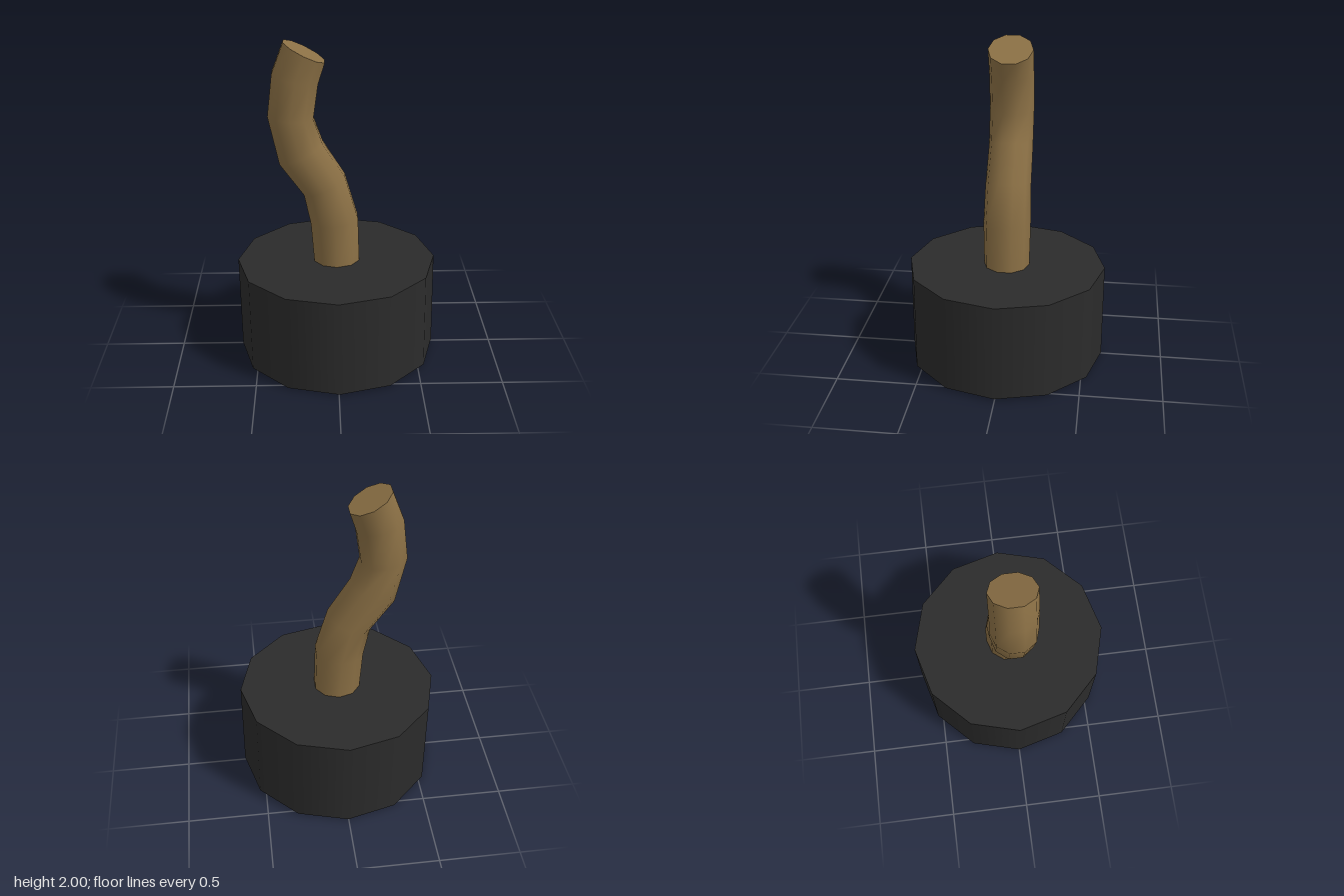
import * as THREE from 'three';

const SIDES = 10;

// Lofted stem: each ring spans a left and a right outline point, with its own depth
function stemGeometry(rings) {
  const positions = [], index = [];
  const addRing = ([lx, ly, rx, ry, depth]) => {
    const cx = (lx + rx) / 2, cy = (ly + ry) / 2;
    // flats face left and right, so widen to reach the outline
    const k = 1 / Math.cos(Math.PI / SIDES);
    const ux = (rx - lx) / 2 * k, uy = (ry - ly) / 2 * k;
    for (let j = 0; j < SIDES; j++) {
      const a = ((j + 0.5) / SIDES) * Math.PI * 2;
      positions.push(cx + ux * Math.cos(a), cy + uy * Math.cos(a), -depth * Math.sin(a));
    }
  };
  rings.forEach(addRing);
  for (let i = 0; i < rings.length - 1; i++) {
    for (let j = 0; j < SIDES; j++) {
      const a = i * SIDES + j, b = i * SIDES + (j + 1) % SIDES;
      index.push(a, b, b + SIDES, a, b + SIDES, a + SIDES);
    }
  }
  // End caps use their own vertices to keep the rims sharp
  for (const [ring, top] of [[rings[0], false], [rings[rings.length - 1], true]]) {
    const start = positions.length / 3;
    addRing(ring);
    for (let j = 1; j < SIDES - 1; j++) {
      if (top) index.push(start, start + j, start + j + 1);
      else index.push(start, start + j + 1, start + j);
    }
  }
  const geometry = new THREE.BufferGeometry();
  geometry.setAttribute('position', new THREE.Float32BufferAttribute(positions, 3));
  geometry.setIndex(index);
  geometry.computeVertexNormals();
  return geometry;
}

export function createModel() {
  const model = new THREE.Group();

  // Twelve-sided base, leaning very slightly
  const base = new THREE.Mesh(
    new THREE.CylinderGeometry(0.617, 0.617, 0.608, 12),
    new THREE.MeshStandardMaterial({ color: 0x2b2b2b })
  );
  base.name = 'base';
  base.position.y = 0.312;
  base.rotation.z = 0.012;
  model.add(base);

  // Bent stem: left x, left y, right x, right y, half depth
  const stem = new THREE.Mesh(
    stemGeometry([
      [-0.137, 0.56, 0.142, 0.56, 0.142],
      [-0.16, 0.87, 0.13, 0.9, 0.148],
      [-0.2, 1.06, 0.05, 1.17, 0.142],
      [-0.345, 1.26, -0.085, 1.385, 0.138],
      [-0.41, 1.56, -0.14, 1.54, 0.138],
      [-0.38, 1.815, -0.11, 1.755, 0.138],
      [-0.31, 2.0, -0.07, 1.88, 0.138]
    ]),
    new THREE.MeshStandardMaterial({ color: 0x8b7045 })
  );
  stem.name = 'stem';
  model.add(stem);

  return model;
}
